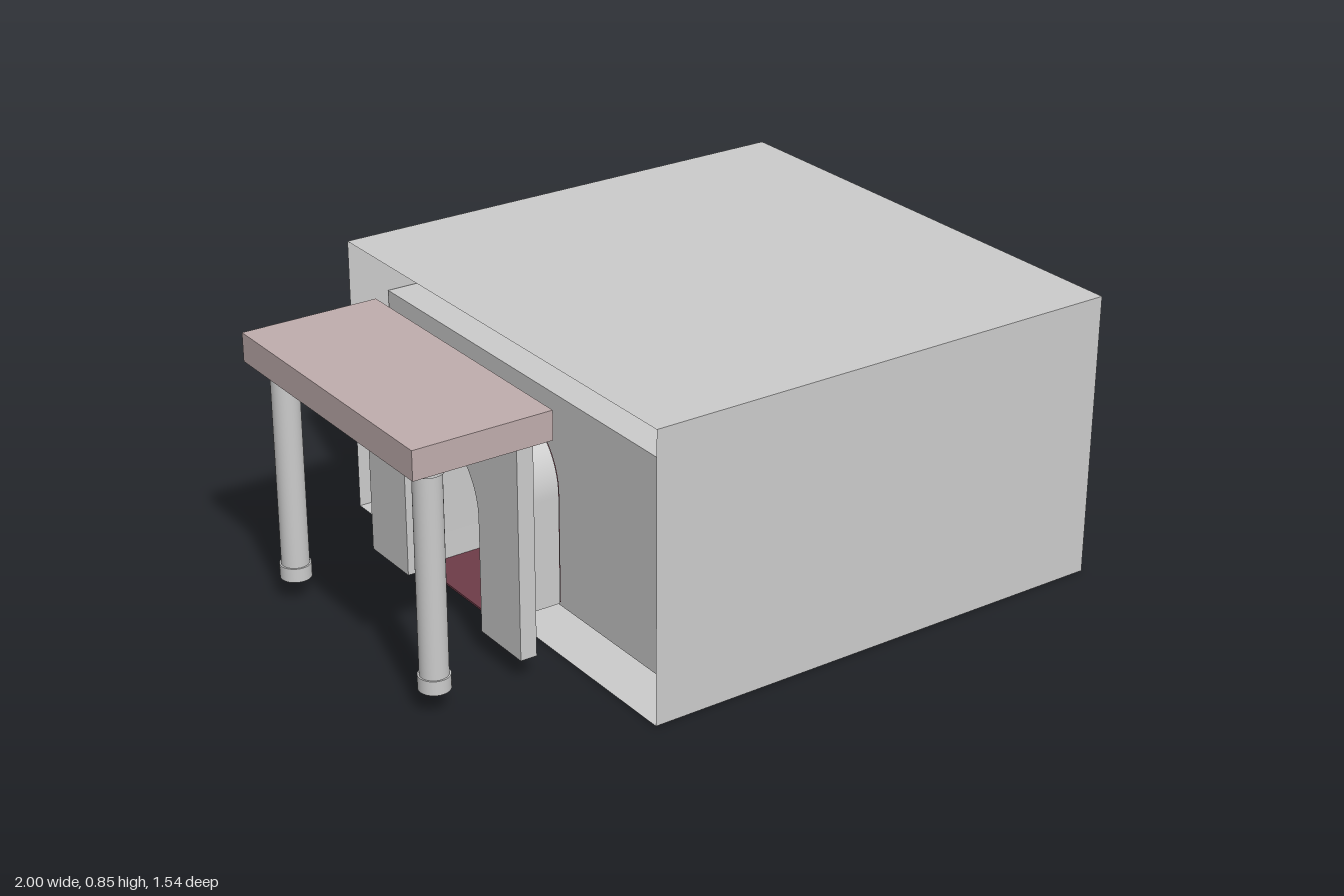
import * as THREE from 'three';
import { toCreasedNormals } from 'three/addons/utils/BufferGeometryUtils.js';

const grey = new THREE.MeshStandardMaterial({ color: 0xcccccc });
const thinGrey = new THREE.MeshStandardMaterial({ color: 0xcccccc, side: THREE.DoubleSide });
const roofColor = new THREE.MeshStandardMaterial({ color: 0xc0adad });
const doorColor = new THREE.MeshStandardMaterial({ color: 0x6e3c48, side: THREE.DoubleSide });

const BASE = 0.08, SPRING = 0.41; // doorway floor and arch springing heights

export function createModel() {
  const model = new THREE.Group();

  function add(parent, name, geometry, material = grey) {
    const mesh = new THREE.Mesh(geometry, material);
    mesh.name = name;
    parent.add(mesh);
    return mesh;
  }
  // Box given by its limits on each axis
  function block(name, x0, x1, y0, y1, z0, z1, material = grey) {
    const geometry = new THREE.BoxGeometry(x1 - x0, y1 - y0, z1 - z0);
    geometry.translate((x0 + x1) / 2, (y0 + y1) / 2, (z0 + z1) / 2);
    return add(model, name, geometry, material);
  }
  // Upright outline (z, y) extruded from x = xBack out to x = xFront
  function profile(name, shape, xFront, xBack, material = grey) {
    const geometry = new THREE.ExtrudeGeometry(shape, {
      depth: xBack - xFront, bevelEnabled: false, curveSegments: 28,
    });
    geometry.rotateY(-Math.PI / 2);
    geometry.translate(xBack, 0, 0);
    return add(model, name, toCreasedNormals(geometry, 0.5), material);
  }
  // Cuts the underside of an outline back along an arched opening
  function archNotch(shape, r, bottom) {
    shape.lineTo(r, bottom);
    shape.lineTo(r, SPRING);
    shape.absarc(0, SPRING, r, 0, Math.PI, false);
    shape.lineTo(-r, bottom);
    shape.closePath();
    return shape;
  }

  // Outer shell, open on the entrance side
  const shell = new THREE.BoxGeometry(1.49, 0.85, 1.54);
  const index = Array.from(shell.index.array);
  index.splice(6, 6);
  shell.setIndex(index);
  shell.clearGroups();
  shell.translate(0.255, 0.425, 0);
  add(model, 'outerShell', shell, thinGrey);

  // Lower block set back inside the shell
  block('innerBlock', -0.366, 0.985, 0.03, 0.67, -0.765, 0.765);

  // Arched passage to the door
  const passage = new THREE.Shape();
  passage.moveTo(-0.2, BASE);
  passage.lineTo(-0.2, SPRING);
  passage.absarc(0, SPRING, 0.2, Math.PI, 0, true);
  passage.lineTo(0.2, BASE);
  profile('archedPassage', archNotch(passage, 0.194, BASE), -0.61, -0.41, thinGrey);

  // Door and threshold
  const door = new THREE.Shape();
  door.moveTo(-0.195, BASE);
  door.lineTo(0.195, BASE);
  door.lineTo(0.195, SPRING);
  door.absarc(0, SPRING, 0.195, 0, Math.PI, false);
  door.closePath();
  profile('door', door, -0.42, -0.405, doorColor);
  block('threshold', -0.61, -0.41, BASE, BASE + 0.006, -0.195, 0.195, doorColor);

  // Entrance wall with arched opening
  const facade = new THREE.Shape();
  facade.moveTo(-0.39, 0.07);
  facade.lineTo(-0.39, 0.72);
  facade.lineTo(0.39, 0.72);
  facade.lineTo(0.39, 0.07);
  profile('entranceWall', archNotch(facade, 0.194, 0.07), -0.66, -0.61);

  // Porch roof
  block('porchRoof', -1, -0.585, 0.72, 0.805, -0.447, 0.447, roofColor);

  // Columns with base and capital
  for (const side of [-1, 1]) {
    const column = new THREE.Group();
    column.name = side > 0 ? 'frontColumn' : 'backColumn';
    column.position.set(-0.917, 0, side * 0.375);
    model.add(column);
    for (const [name, r, y0, y1] of [
      ['base', 0.045, 0.07, 0.112],
      ['shaft', 0.04, 0.112, 0.697],
      ['capital', 0.045, 0.697, 0.72],
    ]) {
      const geometry = new THREE.CylinderGeometry(r, r, y1 - y0, 32);
      geometry.translate(0, (y0 + y1) / 2, 0);
      add(column, name, geometry);
    }
  }

  return model;
}
